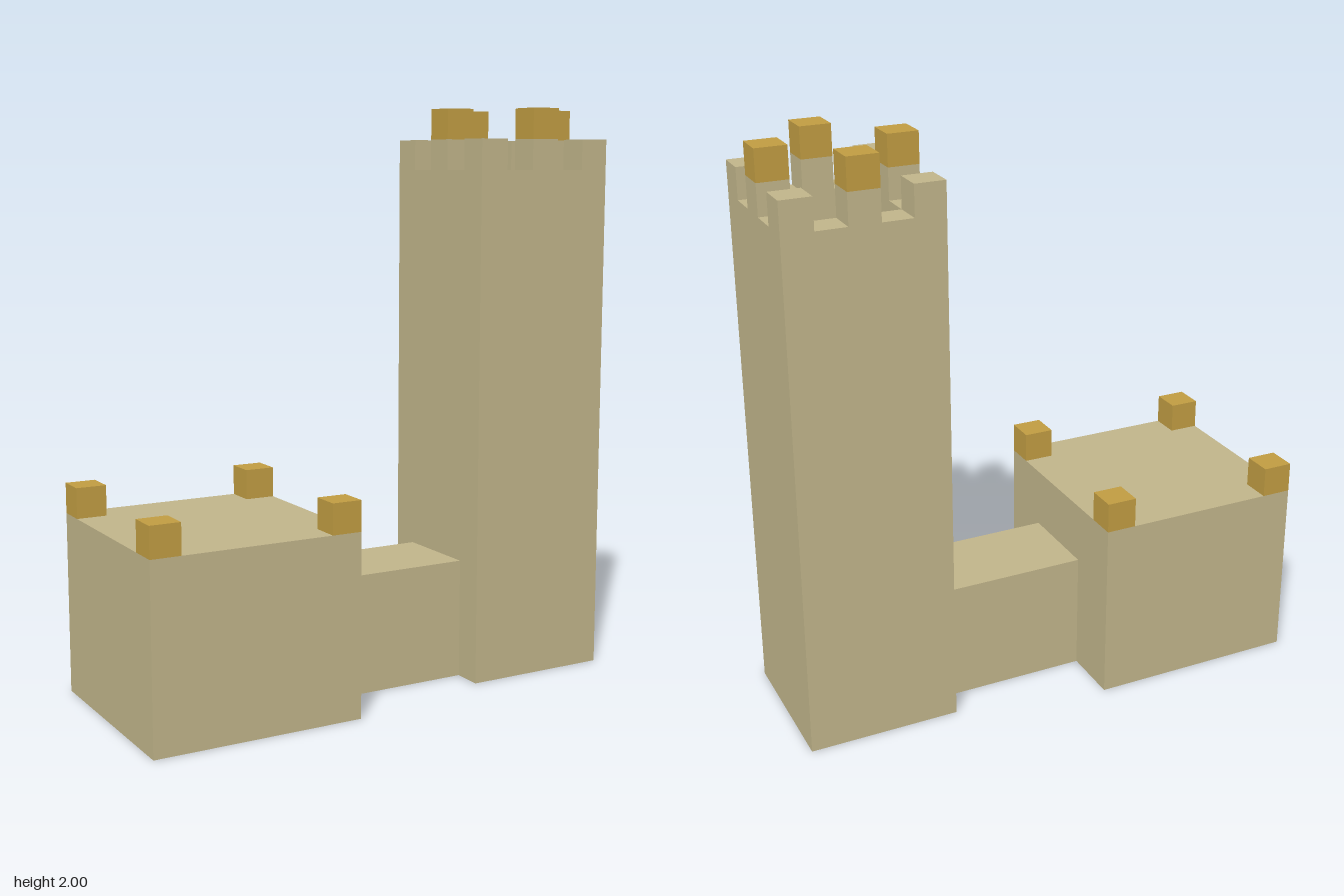
import * as THREE from 'three';

// One block unit: the model is 17 x 19 x 7 blocks
const U = 2 / 19;

export function createModel() {
  const group = new THREE.Group();
  const material = (name, color) => {
    const m = new THREE.MeshStandardMaterial({ color });
    m.name = name;
    return m;
  };
  const sandstone = material('sandstone', 0xc0b48a);
  const gold = material('gold', 0xc09c42);
  const blue = material('blue', 0x3356b2);

  // Box spanning block coordinates [x0, x1], [y0, y1], [z0, z1]
  const block = (name, mat, x0, x1, y0, y1, z0, z1) => {
    const geo = new THREE.BoxGeometry((x1 - x0) * U, (y1 - y0) * U, (z1 - z0) * U);
    const mesh = new THREE.Mesh(geo, mat);
    mesh.position.set(((x0 + x1) / 2 - 8.5) * U, ((y0 + y1) / 2) * U, ((z0 + z1) / 2 - 3.5) * U);
    mesh.name = name;
    group.add(mesh);
  };

  // Low keep with a gold block on every corner
  block('keep', sandstone, 0, 7, 0, 6, 0, 7);
  for (const x of [0, 6]) {
    for (const z of [0, 6]) block('keepCorner', gold, x, x + 1, 6, 7, z, z + 1);
  }

  // Passage joining keep and tower
  block('passage', sandstone, 7, 12, 0, 4, 2, 5);

  // Hollow tower walls
  const square = (path, r) => path.setFromPoints([
    new THREE.Vector2(-r, -r), new THREE.Vector2(r, -r),
    new THREE.Vector2(r, r), new THREE.Vector2(-r, r),
  ]);
  const outline = square(new THREE.Shape(), 2.5 * U);
  outline.holes.push(square(new THREE.Path(), 1.5 * U));
  const wallGeo = new THREE.ExtrudeGeometry(outline, { depth: 17 * U, bevelEnabled: false });
  wallGeo.rotateX(-Math.PI / 2);
  const walls = new THREE.Mesh(wallGeo, sandstone);
  walls.position.x = 6 * U;
  walls.name = 'towerWalls';
  group.add(walls);

  // Tower floor with a gold tile in one corner and a blue block opposite
  block('towerFloor', sandstone, 13, 16, 0, 1, 2, 4);
  block('towerFloor', sandstone, 13, 15, 0, 1, 4, 5);
  block('floorTile', gold, 15, 16, 0, 1, 4, 5);
  block('floorBlock', blue, 15, 16, 1, 2, 2, 3);

  // Battlements: plain corners, taller gold-capped merlons mid-side
  for (const i of [-2, 0, 2]) {
    for (const k of [-2, 0, 2]) {
      if (i === 0 && k === 0) continue;
      const x = 14 + i, z = 3 + k;
      block('merlon', sandstone, x, x + 1, 17, 18, z, z + 1);
      if (i === 0 || k === 0) block('merlonCap', gold, x, x + 1, 18, 19, z, z + 1);
    }
  }
  return group;
}
